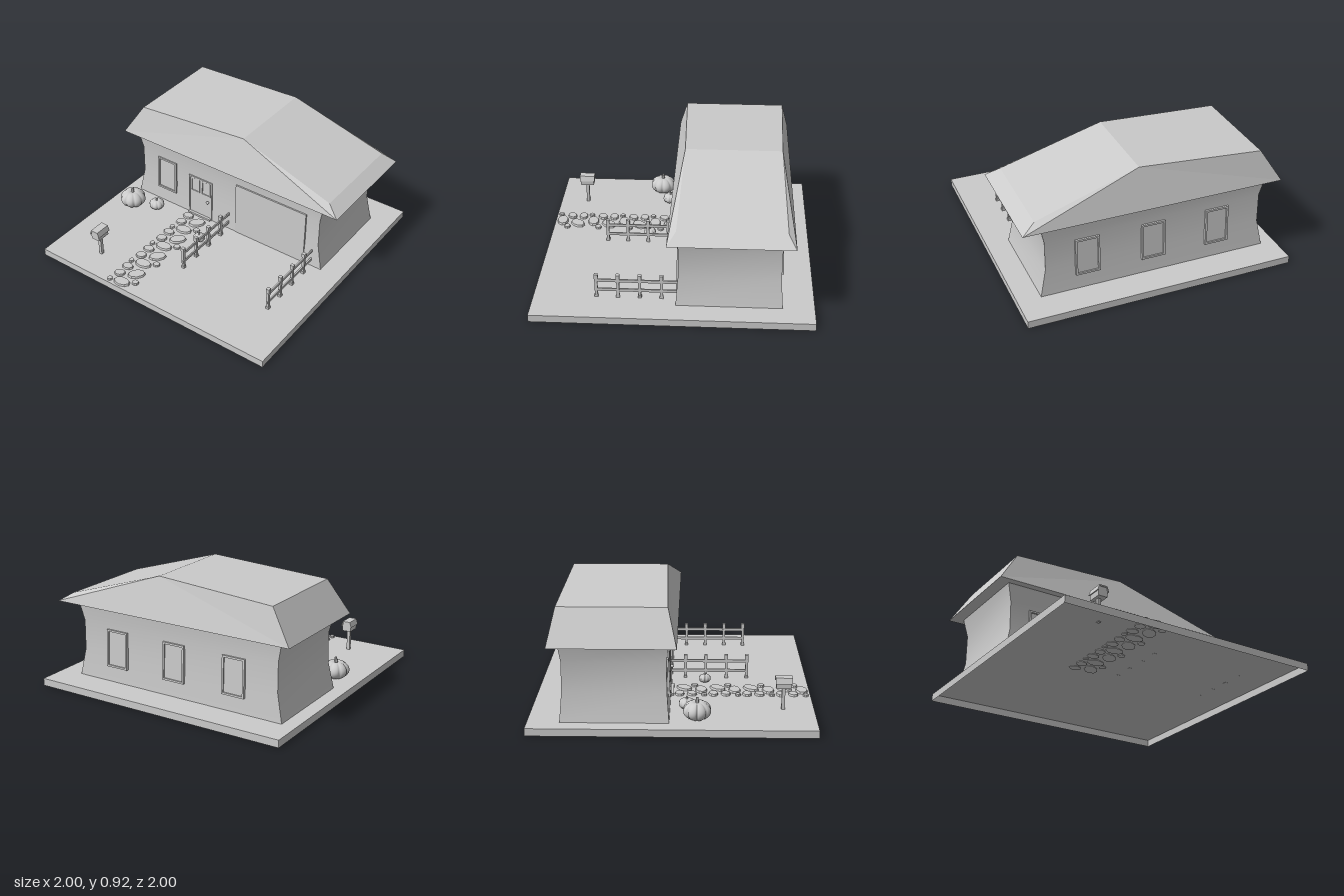
import * as THREE from 'three';

const GROUND = 0.055;
const smooth = new THREE.MeshStandardMaterial({ color: 0xcccccc, side: THREE.DoubleSide });
const flat = new THREE.MeshStandardMaterial({ color: 0xcccccc, side: THREE.DoubleSide, flatShading: true });

function add(parent, name, geometry, x = 0, y = 0, z = 0, material = flat) {
  const mesh = new THREE.Mesh(geometry, material);
  mesh.name = name;
  mesh.position.set(x, y, z);
  parent.add(mesh);
  return mesh;
}

function group(parent, name, x = 0, y = 0, z = 0) {
  const g = new THREE.Group();
  g.name = name;
  g.position.set(x, y, z);
  parent.add(g);
  return g;
}

const box = (w, h, d) => new THREE.BoxGeometry(w, h, d);

// Flat rectangular frame centred on the origin, facing +z
function frameGeometry(w, h, border, depth) {
  const rect = (path, a, b) => path.moveTo(-a, -b).lineTo(a, -b).lineTo(a, b).lineTo(-a, b).closePath();
  const shape = new THREE.Shape();
  rect(shape, w / 2, h / 2);
  const hole = new THREE.Path();
  rect(hole, w / 2 - border, h / 2 - border);
  shape.holes.push(hole);
  return new THREE.ExtrudeGeometry(shape, { depth, bevelEnabled: false });
}

// Ground slab, open underneath
function groundGeometry() {
  const g = box(2, GROUND, 2);
  const index = Array.from(g.index.array);
  index.splice(18, 6);
  g.setIndex(index);
  g.clearGroups();
  return g;
}

// Walls pinched in the middle, flaring at the foot and the eaves
function wallsGeometry() {
  const g = new THREE.BoxGeometry(2, 3, 2, 1, 3, 1);
  const rows = [[GROUND, 0.86, 0.377], [0.26, 0.818, 0.362], [0.48, 0.818, 0.359], [0.625, 0.852, 0.377]];
  const p = g.attributes.position;
  for (let i = 0; i < p.count; i++) {
    const [y, halfX, halfZ] = rows[Math.round(p.getY(i) + 1.5)];
    p.setXYZ(i, p.getX(i) * halfX, y, p.getZ(i) * halfZ);
  }
  g.computeVertexNormals();
  return g;
}

// Lopsided hip roof: eaves rectangle below, three cross lines on top
function roofGeometry() {
  const points = [
    [-0.975, 0.62, 0.035], [0.96, 0.62, 0.035], [0.96, 0.62, -0.84], [-0.975, 0.62, -0.84],
    [-0.82, 0.865, -0.027], [0.1, 0.92, -0.053], [0.86, 0.685, -0.027],
    [-0.82, 0.865, -0.785], [0.1, 0.92, -0.758], [0.86, 0.685, -0.785],
  ];
  const faces = [
    0, 5, 4, 0, 1, 5, 1, 6, 5, // front
    3, 7, 8, 3, 8, 2, 2, 8, 9, // back
    0, 4, 7, 0, 7, 3, 1, 2, 9, 1, 9, 6, // ends
    4, 5, 8, 4, 8, 7, 5, 6, 9, 5, 9, 8, // top
    0, 2, 1, 0, 3, 2, // underside
  ];
  const g = new THREE.BufferGeometry();
  g.setAttribute('position', new THREE.Float32BufferAttribute(points.flat(), 3));
  g.setIndex(faces);
  g.computeVertexNormals();
  return g;
}

function addWindow(parent, name, x, z, facing) {
  const w = group(parent, name, x, 0.31, z);
  w.rotation.set(-0.045 * facing, facing > 0 ? 0 : Math.PI, 0);
  if (facing < 0) w.rotation.x = 0.045; // lean with the wall
  add(w, 'windowFrame', frameGeometry(0.18, 0.28, 0.014, 0.025), 0, 0, -0.012);
  add(w, 'windowPane', box(0.16, 0.26, 0.01), 0, 0, -0.003);
}

function addDoor(parent) {
  const d = group(parent, 'door', -0.283, 0.23, -0.028);
  d.rotation.x = -0.04;
  add(d, 'doorFrame', frameGeometry(0.222, 0.35, 0.012, 0.022), 0, 0, -0.014);
  add(d, 'doorLeaf', box(0.2, 0.34, 0.018), 0, 0, -0.008);
  for (const s of [-1, 1]) {
    add(d, 'doorLight', frameGeometry(0.084, 0.125, 0.01, 0.008), s * 0.051, 0.1, 0);
  }
  add(d, 'doorKnob', new THREE.SphereGeometry(0.012, 12, 8), 0.076, -0.012, 0.014, smooth);
  add(d, 'threshold', box(0.21, 0.014, 0.035), 0, -0.168, 0.005);
}

function addPumpkin(parent, x, z, r) {
  const k = group(parent, 'pumpkin', x, GROUND, z);
  const h = r * 0.7;
  const g = new THREE.SphereGeometry(1, 64, 20);
  const p = g.attributes.position;
  for (let i = 0; i < p.count; i++) {
    const px = p.getX(i), py = p.getY(i), pz = p.getZ(i);
    const ring = Math.hypot(px, pz);
    const lobe = 0.86 + 0.14 * Math.sqrt(Math.abs(Math.sin(4 * Math.atan2(pz, px))));
    // dimple at both poles
    const dip = 1 - 0.22 * Math.exp(-ring * ring * 12);
    p.setXYZ(i, px * r * lobe, py * h * dip * (0.93 + 0.07 * lobe), pz * r * lobe);
  }
  g.computeVertexNormals();
  add(k, 'pumpkinBody', g, 0, h * 0.95, 0, smooth);
  const stem = add(k, 'pumpkinStem', new THREE.CylinderGeometry(r * 0.08, r * 0.14, r * 0.5, 6), 0, h * 1.95, 0);
  stem.rotation.z = -0.12;
}

function addFence(parent, x) {
  const f = group(parent, 'fence', x, 0, 0);
  for (let i = 0; i < 4; i++) {
    const z = 0.083 + i * 0.155;
    add(f, 'fencePost', box(0.02, 0.18, 0.02), 0, 0.145, z);
    add(f, 'fencePostCap', box(0.026, 0.032, 0.026), 0, 0.224, z);
    add(f, 'fencePostFoot', box(0.026, 0.02, 0.026), 0, 0.064, z);
  }
  for (const y of [0.113, 0.19]) add(f, 'fenceRail', box(0.01, 0.022, 0.59), 0, y, 0.265);
}

function addMailbox(parent) {
  const m = group(parent, 'mailbox', -0.617, 0, 0.78);
  add(m, 'mailboxPost', box(0.024, 0.18, 0.024), 0, 0.14, 0);
  const shape = new THREE.Shape([
    [-0.034, 0.22], [0.034, 0.22], [0.036, 0.27], [0.026, 0.29], [-0.026, 0.29], [-0.036, 0.27],
  ].map(([x, y]) => new THREE.Vector2(x, y)));
  add(m, 'mailboxBody', new THREE.ExtrudeGeometry(shape, { depth: 0.106, bevelEnabled: false }), 0, 0, -0.053);
  // folded cover over the body
  const cover = new THREE.Shape([
    [-0.044, 0.257], [-0.036, 0.257], [-0.026, 0.288], [0.026, 0.288], [0.036, 0.257],
    [0.044, 0.257], [0.03, 0.298], [-0.03, 0.298],
  ].map(([x, y]) => new THREE.Vector2(x, y)));
  add(m, 'mailboxCover', new THREE.ExtrudeGeometry(cover, { depth: 0.118, bevelEnabled: false }), 0, 0, -0.059);
}

// Stepping stones: x, z, half sizes, turn; the set repeats toward the door
function addPath(parent) {
  const path = group(parent, 'path');
  const stones = [
    [-0.355, 0.785, 0.047, 0.036, 0.1], [-0.355, 0.875, 0.044, 0.036, 0.5], [-0.375, 0.965, 0.02, 0.022, 0],
    [-0.28, 0.943, 0.07, 0.046, 0.1], [-0.244, 0.818, 0.07, 0.047, 0.8], [-0.192, 0.895, 0.028, 0.026, 0.3],
    [-0.28, 0.7, 0.066, 0.044, -0.1],
  ];
  for (let k = 0; k < 4; k++) {
    stones.forEach(([x, z, a, b, turn], n) => {
      if (n === 6 && k < 3) return;
      const zz = z - k * 0.247;
      if (zz < 0) return;
      const stone = add(path, 'steppingStone', new THREE.CylinderGeometry(0.87, 1, 0.02, 9), x, 0.06, zz);
      stone.scale.set(a, 1, b);
      stone.rotation.y = turn;
    });
  }
}

export function createModel() {
  const model = new THREE.Group();
  model.name = 'house';

  add(model, 'ground', groundGeometry(), 0, GROUND / 2, 0);
  add(model, 'walls', wallsGeometry(), -0.032, 0, -0.397, smooth);
  add(model, 'roof', roofGeometry());

  // Openings
  add(model, 'garageDoor', box(0.622, 0.44, 0.025), 0.364, 0.275, -0.033).rotation.x = -0.02;
  addDoor(model);
  addWindow(model, 'frontWindow', -0.61, -0.034, 1);
  for (const x of [0.48, -0.015, -0.51]) addWindow(model, 'backWindow', x, -0.765, -1);

  // Garden
  addPumpkin(model, -0.81, 0.172, 0.1);
  addPumpkin(model, -0.627, 0.1, 0.06);
  addPumpkin(model, -0.107, 0.23, 0.046);
  for (const x of [-0.013, 0.74]) addFence(model, x);
  addMailbox(model);
  addPath(model);
  return model;
}
